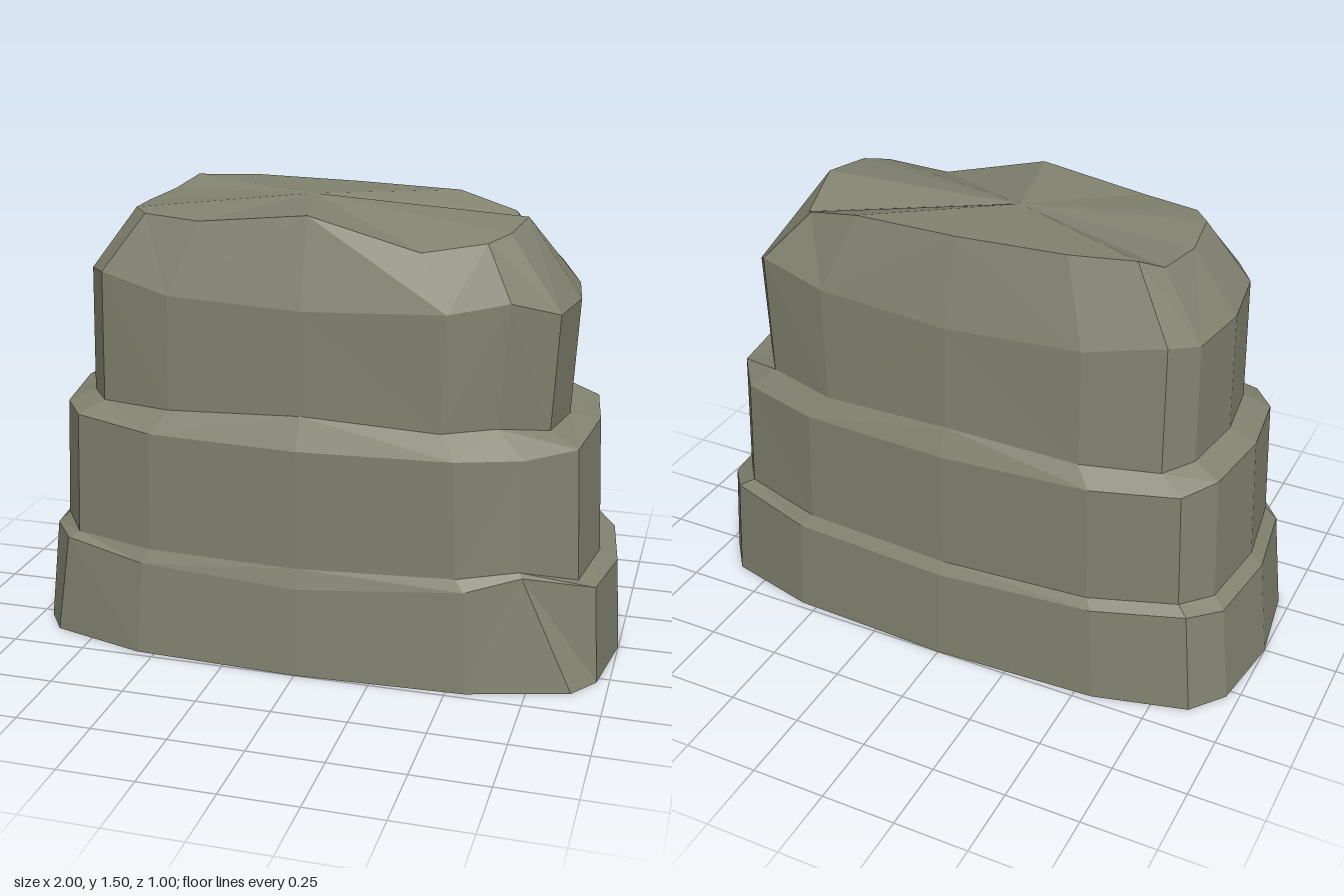
import * as THREE from 'three';

// Quarter outline of the boulder, mirrored into a 16-sided ring running +x, +z, -x, -z
const QUARTER = [[1, 0], [0.96, 0.56], [0.87, 0.79], [0.56, 0.95]];
const OUTLINE = [];
for (let q = 0; q < 4; q++) {
  for (let k = 0; k < 4; k++) {
    if (q % 2 === 0) {
      const s = q === 0 ? 1 : -1;
      OUTLINE.push([QUARTER[k][0] * s, QUARTER[k][1] * s]);
    } else {
      const [x, z] = k === 0 ? [0, 1] : QUARTER[4 - k];
      const s = q === 1 ? 1 : -1;
      OUTLINE.push([-x * s, z * s]);
    }
  }
}
const N = OUTLINE.length;

// One ring: half sizes towards +x, -x, +z, -z, uneven heights, and chipped points { index: [x, z] }
function ring(right, left, front, back, heights, chips = {}) {
  return OUTLINE.map(([x, z], i) => {
    const [px, pz] = chips[i] || [x * (x > 0 ? right : left), z * (z > 0 ? front : back)];
    return [px, heights[i % heights.length], pz];
  });
}

// Joins consecutive rings with faces; optional fans close the bottom and top
function tier(name, rings, material, bottom, top) {
  const pos = [];
  const tri = (a, b, c) => pos.push(...a, ...b, ...c);
  for (let i = 0; i < N; i++) {
    const j = (i + 1) % N;
    for (let r = 0; r < rings.length - 1; r++) {
      const lo = rings[r], hi = rings[r + 1];
      if (i % 2) {
        tri(lo[i], hi[i], hi[j]);
        tri(lo[i], hi[j], lo[j]);
      } else {
        tri(lo[i], hi[i], lo[j]);
        tri(hi[i], hi[j], lo[j]);
      }
    }
    if (bottom) tri(bottom, rings[0][i], rings[0][j]);
    if (top) tri(top, rings[rings.length - 1][j], rings[rings.length - 1][i]);
  }
  const geo = new THREE.BufferGeometry();
  geo.setAttribute('position', new THREE.Float32BufferAttribute(pos, 3));
  geo.computeVertexNormals();
  const mesh = new THREE.Mesh(geo, material);
  mesh.name = name;
  return mesh;
}

export function createModel() {
  const stone = new THREE.MeshStandardMaterial({ color: 0x828370 });
  stone.name = 'olive grey stone';

  const ground = ring(1, 1, 0.5, 0.5, [0], { 2: [0.89, 0.38], 6: [-0.89, 0.38] });
  const lowerRim = ring(0.98, 0.96, 0.485, 0.485,
    [0.32, 0.33, 0.385, 0.345, 0.3, 0.32, 0.35, 0.355, 0.35, 0.34, 0.36, 0.34, 0.32, 0.33, 0.36, 0.33],
    { 2: [0.72, 0.39] });
  const middleFoot = ring(0.92, 0.92, 0.465, 0.46,
    [0.35, 0.345, 0.4, 0.38, 0.365, 0.365, 0.37, 0.395, 0.39, 0.38, 0.39, 0.37, 0.36, 0.37, 0.39, 0.36],
    { 2: [0.71, 0.38] });
  const middleRim = ring(0.9, 0.9, 0.465, 0.455,
    [0.81, 0.785, 0.77, 0.77, 0.765, 0.77, 0.79, 0.8, 0.815, 0.81, 0.79, 0.78, 0.77, 0.77, 0.78, 0.81],
    { 2: [0.71, 0.37] });
  const upperFoot = ring(0.8, 0.81, 0.41, 0.415,
    [0.82, 0.83, 0.86, 0.84, 0.865, 0.84, 0.835, 0.84, 0.85, 0.85, 0.84, 0.84, 0.86, 0.84, 0.85, 0.83],
    { 2: [0.62, 0.35] });
  const shoulder = ring(0.82, 0.8, 0.405, 0.4,
    [1.205, 1.205, 1.26, 1.22, 1.205, 1.22, 1.27, 1.26, 1.25, 1.25, 1.27, 1.23, 1.21, 1.23, 1.26, 1.205],
    { 2: [0.65, 0.35] });
  const crown = ring(0.64, 0.65, 0.32, 0.32,
    [1.46, 1.44, 1.42, 1.39, 1.49, 1.45, 1.455, 1.46, 1.45, 1.46, 1.5, 1.5, 1.49, 1.48, 1.43, 1.39]);

  const group = new THREE.Group();
  group.name = 'steppedBoulder';
  group.add(
    tier('lowerTier', [ground, lowerRim, middleFoot], stone, [0, 0, 0]),
    tier('middleTier', [middleFoot, middleRim, upperFoot], stone),
    tier('upperTier', [upperFoot, shoulder, crown], stone, null, [-0.08, 1.495, -0.03]),
  );
  return group;
}
